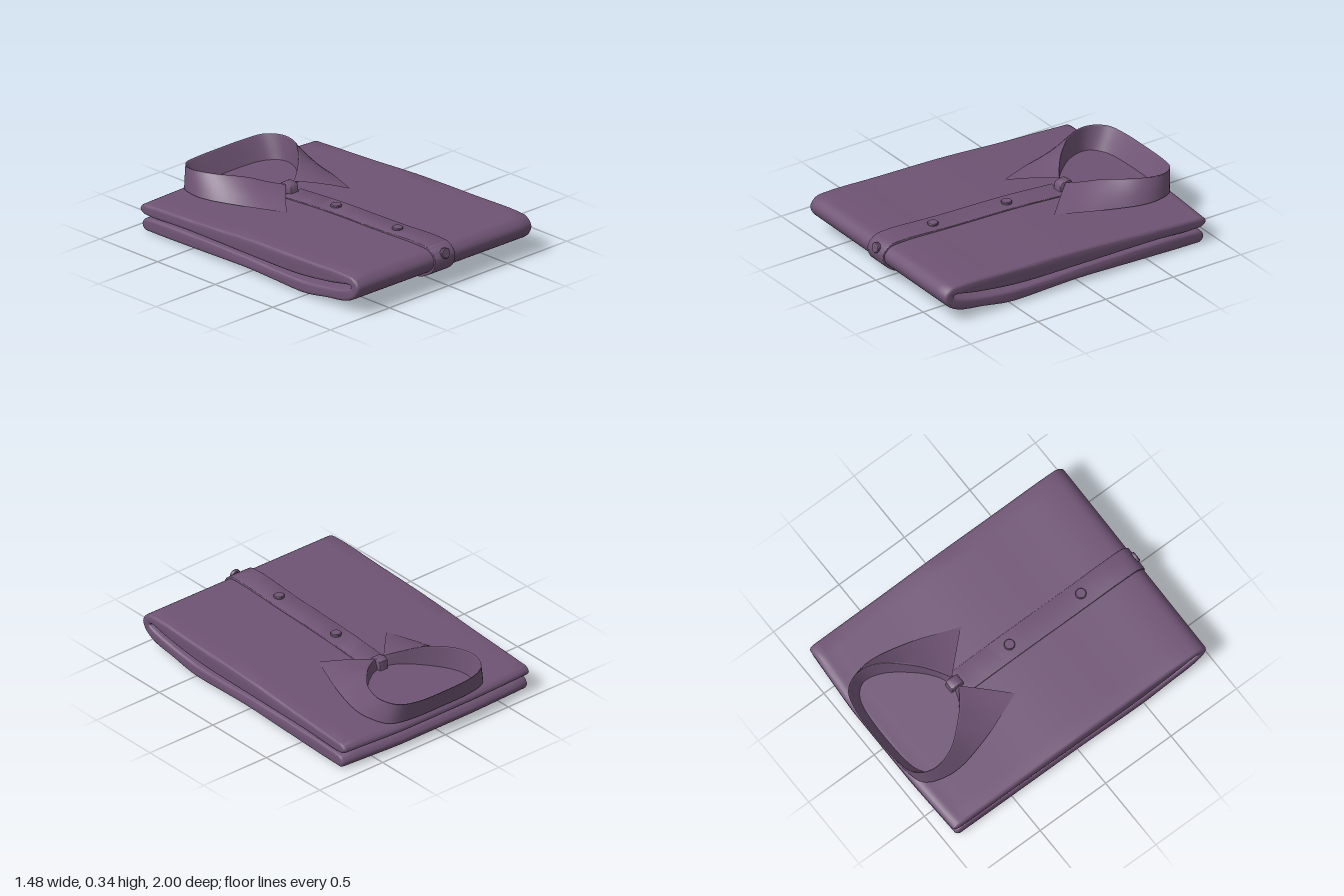
import * as THREE from 'three';
import { toCreasedNormals } from 'three/addons/utils/BufferGeometryUtils.js';

const cloth = new THREE.MeshStandardMaterial({ color: 0x6f5474, side: THREE.DoubleSide });
cloth.name = 'plum cloth';

function addPart(group, name, geometry) {
  const mesh = new THREE.Mesh(geometry, cloth);
  mesh.name = name;
  group.add(mesh);
  return mesh;
}

// Smooth curve through [z, y] points, returned as 2D points
function smooth2D(points, closed, n) {
  const curve = new THREE.CatmullRomCurve3(points.map(([z, y]) => new THREE.Vector3(z, y, 0)), closed, 'centripetal');
  return curve.getPoints(n).map((p) => new THREE.Vector2(p.x, p.y));
}

// Extrudes a side profile across the width, then skews it a little like soft cloth
function acrossWidth(points, width, bevel, steps) {
  const geo = new THREE.ExtrudeGeometry(new THREE.Shape(points), {
    depth: width - 2 * bevel, steps, bevelEnabled: true, bevelThickness: bevel,
    bevelSize: bevel, bevelOffset: -bevel, bevelSegments: 4,
  });
  geo.translate(0, 0, -(width - 2 * bevel) / 2);
  geo.rotateY(-Math.PI / 2);
  const pos = geo.attributes.position;
  for (let i = 0; i < pos.count; i++) {
    const x = pos.getX(i), z = pos.getZ(i);
    const back = Math.max(0, -z - 0.3) / 0.65;
    const front = Math.max(0, z - 0.3) / 0.7;
    const side = Math.max(0, Math.abs(x) - 0.3) / 0.44;
    pos.setX(i, x - 0.011 * z);
    pos.setZ(i, z + back * side * (x > 0 ? 0.032 : 0.016) + front * x * 0.012);
  }
  return toCreasedNormals(geo, 0.75);
}

// Body folded in half: upper layer, front fold, lower layer and the slot between
function bodyGeometry() {
  const profile = [
    [-0.96, 0.14], [-0.935, 0.17], [-0.85, 0.178], [-0.4, 0.2], [0, 0.225], [0.5, 0.238],
    [0.85, 0.247], [0.94, 0.235], [0.982, 0.185], [0.96, 0.125], [0.88, 0.075], [0.7, 0.045],
    [0.5, 0.014], [0.2, 0.02], [0, 0.025], [-0.4, 0.015], [-0.85, 0.006], [-0.92, 0.01],
    [-0.942, 0.045], [-0.92, 0.08], [-0.85, 0.092], [-0.4, 0.1], [0, 0.1], [0.45, 0.092],
    [0.75, 0.125], [0.9, 0.163], [0.915, 0.175], [0.9, 0.183], [0.75, 0.157], [0.45, 0.122],
    [0, 0.116], [-0.4, 0.116], [-0.6, 0.114], [-0.85, 0.104], [-0.935, 0.112],
  ];
  return acrossWidth(smooth2D(profile, true, 150).slice(0, -1), 1.464, 0.02, 16);
}

// Button strip wrapped over the top, round the fold and a little underneath
function placketGeometry() {
  const outer = smooth2D([
    [-0.36, 0.21], [0, 0.233], [0.5, 0.247], [0.85, 0.262], [0.94, 0.25], [0.98, 0.215],
    [0.992, 0.18], [0.97, 0.115], [0.88, 0.055], [0.7, 0.022], [0.52, 0.001],
  ], false, 70);
  const inner = outer.map((p, i) => {
    const t = outer[Math.min(i + 1, 70)].clone().sub(outer[Math.max(i - 1, 0)]).normalize();
    return new THREE.Vector2(p.x + t.y * 0.02, p.y - t.x * 0.02);
  });
  return acrossWidth([...outer, ...inner.reverse()], 0.168, 0.004, 1);
}

// Half rail from the back centre to the front, mirrored into a full curve
function rail(half) {
  const left = half.map(([x, y, z]) => new THREE.Vector3(x, y, z));
  const right = half.slice(1).reverse().map(([x, y, z]) => new THREE.Vector3(-x, y, z));
  return new THREE.CatmullRomCurve3([...right, ...left], false, 'catmullrom', 0.5);
}

// Collar: inner stand rises to the fold line, then the leaf falls to the points
function collarGeometry() {
  const stand = rail([
    [0, 0.17, -0.915], [0.2, 0.17, -0.905], [0.31, 0.172, -0.87], [0.36, 0.178, -0.79],
    [0.32, 0.185, -0.66], [0.2, 0.19, -0.51], [0.1, 0.195, -0.43], [0.02, 0.2, -0.4],
  ]);
  const fold = rail([
    [0, 0.308, -0.992], [0.2, 0.31, -0.985], [0.33, 0.32, -0.945], [0.385, 0.33, -0.83],
    [0.345, 0.334, -0.68], [0.22, 0.32, -0.53], [0.12, 0.287, -0.44], [0.035, 0.262, -0.38],
  ]);
  const edge = rail([
    [0, 0.183, -0.96], [0.22, 0.183, -0.955], [0.37, 0.185, -0.915], [0.432, 0.193, -0.79],
    [0.435, 0.2, -0.64], [0.38, 0.212, -0.42], [0.325, 0.217, -0.27], [0.27, 0.221, -0.13],
  ]);
  const n = 84, cols = 8, verts = [], index = [];
  for (let i = 0; i <= n; i++) {
    const s = stand.getPoint(i / n), f = fold.getPoint(i / n), e = edge.getPoint(i / n);
    const inTop = f.clone().lerp(s, 0.1), outTop = f.clone().lerp(e, 0.07);
    f.y += 0.002;
    inTop.y += 0.006;
    outTop.y += 0.004;
    const bow = (t, h) => outTop.clone().lerp(e, t).add(new THREE.Vector3(0, h, 0));
    const row = [s, s.clone().lerp(inTop, 0.5), inTop, f, outTop, bow(0.33, 0.006), bow(0.67, 0.006), e];
    row.forEach((p) => verts.push(p.x, p.y, p.z));
  }
  for (let i = 0; i < n; i++) {
    for (let j = 0; j < cols - 1; j++) {
      const a = i * cols + j, b = a + cols;
      index.push(a, a + 1, b, b, a + 1, b + 1);
    }
  }
  const geo = new THREE.BufferGeometry();
  geo.setAttribute('position', new THREE.Float32BufferAttribute(verts, 3));
  geo.setIndex(index);
  geo.computeVertexNormals();
  return geo;
}

// Round button with a softened rim
function buttonGeometry() {
  const outline = [[0, -0.012], [0.033, -0.012], [0.034, 0.004], [0.03, 0.009], [0, 0.009]];
  return toCreasedNormals(new THREE.LatheGeometry(outline.map(([r, y]) => new THREE.Vector2(r, y)), 28), 0.6);
}

export function createModel() {
  const shirt = new THREE.Group();
  shirt.name = 'foldedShirt';
  addPart(shirt, 'foldedBody', bodyGeometry());
  addPart(shirt, 'buttonPlacket', placketGeometry()).position.x = -0.008;
  addPart(shirt, 'collar', collarGeometry());

  // Overlapping end of the collar stand at the throat
  const tab = acrossWidth([
    [-0.045, 0.0], [-0.042, 0.06], [-0.02, 0.072], [0.03, 0.066], [0.046, 0.05], [0.05, 0.0],
  ].map(([z, y]) => new THREE.Vector2(z, y)), 0.065, 0.006, 1);
  addPart(shirt, 'collarTab', tab).position.set(0.003, 0.2, -0.385);

  // Buttons: two on top and one on the front fold
  const button = buttonGeometry();
  [[-0.005, 0.241, 0.03, 0.02], [-0.012, 0.255, 0.57, 0.04], [-0.016, 0.215, 0.988, 1.35]].forEach(([x, y, z, tilt], i) => {
    const mesh = addPart(shirt, 'button' + (i + 1), button);
    mesh.position.set(x, y, z);
    mesh.rotation.x = tilt;
  });
  return shirt;
}
